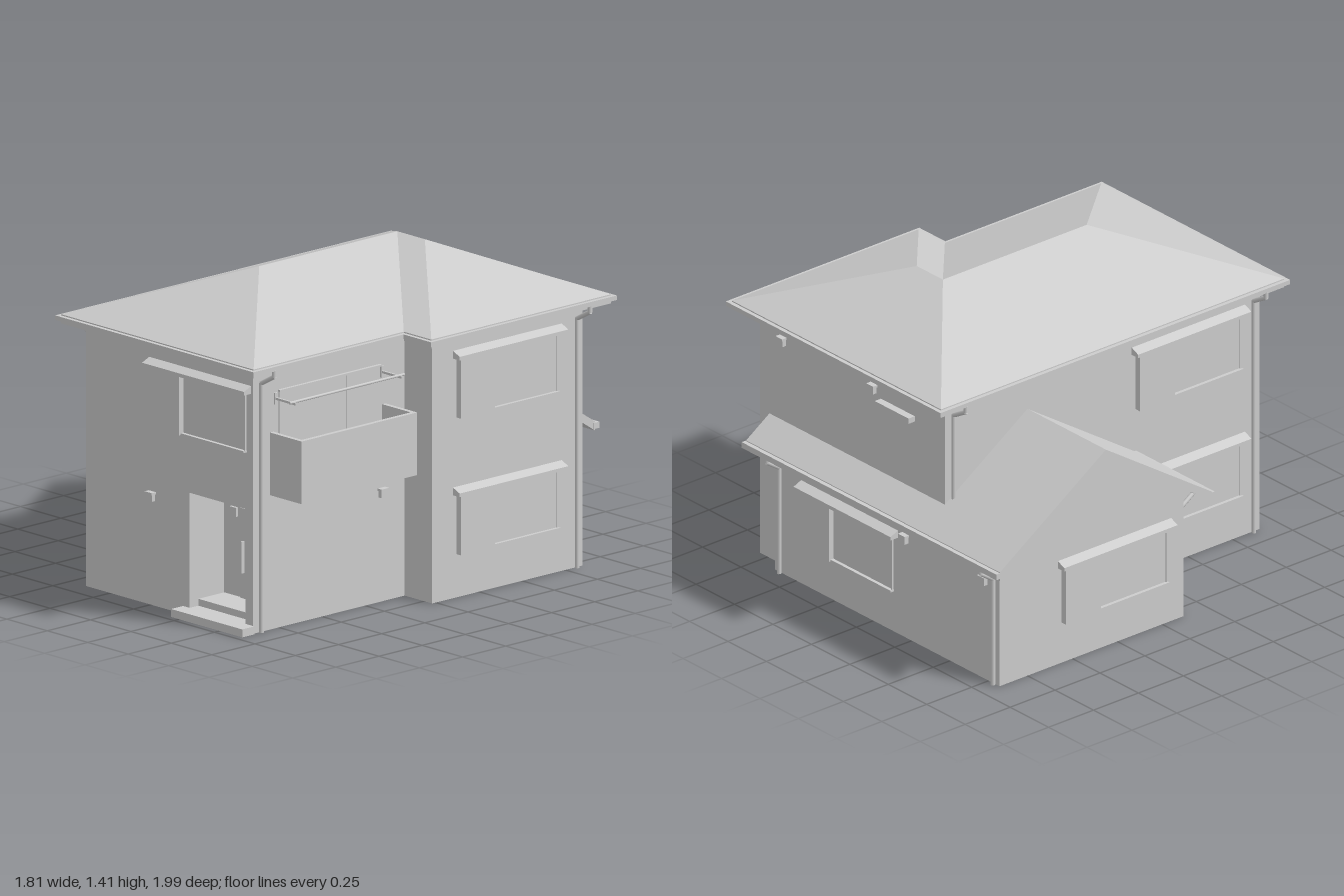
import * as THREE from 'three';

export function createModel() {
  const house = new THREE.Group();
  house.name = 'house';
  const plaster = new THREE.MeshStandardMaterial({ color: 0xcccccc });
  plaster.name = 'light grey';

  const add = (name, geometry, parent = house) => {
    const mesh = new THREE.Mesh(geometry, plaster);
    mesh.name = name;
    parent.add(mesh);
    return mesh;
  };
  // Box given by its two opposite corners
  const box = (name, [x0, y0, z0], [x1, y1, z1], parent = house) =>
    add(name, new THREE.BoxGeometry(x1 - x0, y1 - y0, z1 - z0)
      .translate((x0 + x1) / 2, (y0 + y1) / 2, (z0 + z1) / 2), parent);
  const shapeOf = (pts) => new THREE.Shape(pts.map(([a, b]) => new THREE.Vector2(a, b)));
  const extrude = (shape, depth) => new THREE.ExtrudeGeometry(shape, { depth, bevelEnabled: false });
  // Cross-section in (z, y) swept along x
  const sweepX = (name, pts, x0, x1, parent = house) =>
    add(name, extrude(shapeOf(pts.map(([z, y]) => [-z, y])), x1 - x0)
      .rotateY(Math.PI / 2).translate(x0, 0, 0), parent);
  // Plan outline in (x, z) raised from y0 to y1
  const slab = (name, pts, y0, y1) =>
    add(name, extrude(shapeOf(pts.map(([x, z]) => [x, -z])), y1 - y0)
      .rotateX(-Math.PI / 2).translate(0, y0, 0));
  // Round bar through a list of points
  const pipe = (name, pts, radius, parent = house) => {
    const up = new THREE.Vector3(0, 1, 0);
    const v = pts.map((p) => new THREE.Vector3(...p));
    for (let i = 1; i < v.length; i++) {
      const dir = v[i].clone().sub(v[i - 1]);
      const bar = add(name, new THREE.CylinderGeometry(radius, radius, dir.length() + radius * 0.5, 10), parent);
      bar.position.copy(v[i]).add(v[i - 1]).multiplyScalar(0.5);
      bar.quaternion.setFromUnitVectors(up, dir.normalize());
    }
  };
  // Group standing on a wall, local +z pointing outwards
  const onWall = (name, position, turn) => {
    const group = new THREE.Group();
    group.name = name;
    group.position.set(...position);
    group.rotation.y = turn;
    house.add(group);
    return group;
  };
  const FRONT = 0, LEFT = Math.PI / 2, BACK = Math.PI, RIGHT = -Math.PI / 2;

  // Main walls, with the entrance cut into the front layer
  box('mainWalls', [-0.4, 0, -0.85], [0.63, 1.16, 0.7]);
  box('wingWalls', [0.6, 0, -0.85], [0.8, 1.16, 0.02]);
  const frontWall = shapeOf([[-0.4, 0], [0.63, 0], [0.63, 1.16], [-0.4, 1.16]]);
  frontWall.holes.push(new THREE.Path(
    [[0.24, 0.035], [0.24, 0.54], [0.585, 0.54], [0.585, 0.035]].map((p) => new THREE.Vector2(...p))));
  add('frontWall', extrude(frontWall, 0.2).translate(0, 0, 0.7));

  // Entrance
  box('doorStep', [0.2, 0, 0.9], [0.64, 0.035, 0.97]);
  box('porchFloor', [0.24, 0.035, 0.7], [0.585, 0.065, 0.85]);
  box('door', [0.35, 0.065, 0.7], [0.565, 0.46, 0.708]);
  box('doorHandle', [0.37, 0.18, 0.712], [0.378, 0.32, 0.728]);
  box('doorbell', [0.285, 0.415, 0.7], [0.325, 0.455, 0.712]);

  // Main hipped roof with its eaves and gutter
  const outline = (d) => [
    [-0.48 - d, 0.97 + d], [0.71 + d, 0.97 + d], [0.71 + d, 0.1 + d],
    [0.88 + d, 0.1 + d], [0.88 + d, -0.94 - d], [-0.48 - d, -0.94 - d]];
  slab('eaves', outline(0), 1.15, 1.19);
  slab('gutter', outline(0.018), 1.165, 1.185);
  const E = 1.19, R = 1.41;
  const fl = [-0.48, E, 0.97], fr = [0.71, E, 0.97], inner = [0.71, E, 0.1];
  const wf = [0.88, E, 0.1], wb = [0.88, E, -0.94], bl = [-0.48, E, -0.94];
  const ridgeF = [0.115, R, 0.38], ridgeB = [0.115, R, -0.42], ridgeW = [0.285, R, -0.42];
  const corners = [];
  for (const f of [
    [fl, ridgeF, ridgeB, bl], [fl, fr, ridgeF], [fr, inner, ridgeB, ridgeF],
    [inner, wf, ridgeW, ridgeB], [wf, wb, ridgeW], [wb, bl, ridgeB, ridgeW],
  ]) for (let i = 2; i < f.length; i++) corners.push(...f[0], ...f[i - 1], ...f[i]);
  const roof = new THREE.BufferGeometry();
  roof.setAttribute('position', new THREE.Float32BufferAttribute(corners, 3));
  roof.computeVertexNormals();
  add('mainRoof', roof);

  // Single-storey annex and the strip behind the house
  const roofY = (z) => 0.985 - 0.66 * Math.abs(z + 0.39);
  const under = (z) => roofY(z) - 0.03;
  sweepX('annexWalls', [[-0.905, 0], [0.12, 0], [0.12, under(0.12)], [-0.39, under(-0.39)],
    [-0.905, under(-0.905)]], -0.82, -0.38);
  sweepX('rearWalls', [[-0.905, 0], [-0.84, 0], [-0.84, under(-0.84)], [-0.905, under(-0.905)]], -0.4, 0.64);
  const roofSection = (...zs) => [
    ...zs.map((z) => [z, roofY(z)]), ...zs.slice().reverse().map((z) => [z, roofY(z) - 0.04])];
  sweepX('annexRoof', roofSection(0.2, -0.39, -0.98), -0.91, -0.39);
  sweepX('rearRoof', roofSection(-0.83, -0.98), -0.4, 0.74);
  box('annexFrontGutter', [-0.91, 0.565, 0.185], [-0.4, 0.592, 0.215]);
  box('annexBackGutter', [-0.91, 0.565, -1], [0.745, 0.592, -0.97]);

  // Windows with a shutter box, hood and sill
  const windowAt = (position, turn) => {
    const w = onWall('window', position, turn);
    box('shutterBox', [0, 0, 0], [0.195, 0.26, 0.03], w);
    box('pane', [0.195, 0.005, 0], [0.575, 0.26, 0.004], w);
    box('sill', [0.195, 0, 0], [0.585, 0.008, 0.02], w);
    box('frameSide', [0.575, 0, 0], [0.582, 0.26, 0.01], w);
    const hood = onWall('hood', [0, 0, 0], 0);
    w.add(hood);
    sweepX('windowHood', [[0, 0.262], [0.042, 0.262], [0.042, 0.278], [0, 0.296]], -0.02, 0.61, hood);
  };
  windowAt([0.01, 0.79, 0.9], FRONT);
  for (const y of [0.79, 0.19]) {
    windowAt([0.8, y, -0.12], LEFT);
    windowAt([-0.4, y, 0.21], RIGHT);
  }
  windowAt([-0.82, 0.19, -0.56], RIGHT);
  windowAt([0.45, 0.19, -0.905], BACK);

  // Small hood high on the back wall
  box('smallHood', [-0.205, 1.0, -0.885], [0.015, 1.025, -0.85]);

  // Vent caps
  for (const [p, turn] of [
    [[0.01, 0.46, 0.9], FRONT], [[0.63, 0.46, 0.155], LEFT],
    [[0.06, 1.04, -0.85], BACK], [[0.65, 1.04, -0.85], BACK],
    [[-0.21, 0.45, -0.905], BACK], [[-0.725, 0.45, -0.905], BACK],
  ]) {
    const vent = onWall('vent', p, turn);
    box('ventBody', [-0.017, 0, 0], [0.017, 0.03, 0.02], vent);
    box('ventCap', [-0.022, 0.03, 0], [0.022, 0.04, 0.025], vent);
  }

  // Downpipes with an elbow from gutter to wall
  for (const [p, turn, top, bottom] of [
    [[0.63, 0, 0.86], LEFT, 1.165, 0], [[0.8, 0, -0.81], LEFT, 1.165, 0],
    [[-0.4, 0, 0.86], RIGHT, 1.165, 0], [[-0.4, 0, -0.81], RIGHT, 1.165, 0.68],
    [[-0.79, 0, 0.12], FRONT, 0.57, 0],
    [[-0.79, 0, -0.905], BACK, 0.57, 0], [[0.6, 0, -0.905], BACK, 0.57, 0],
  ]) {
    const out = turn === FRONT || turn === BACK ? 0.078 : 0.09;
    pipe('downpipe', [[0, top, out], [0, top - 0.025, out], [0, top - 0.07, 0.011], [0, bottom + 0.003, 0.011]],
      0.01, onWall('downpipe', p, turn));
  }

  // Balcony
  box('balconyFloor', [0.63, 0.59, 0.13], [0.825, 0.62, 0.8]);
  box('balconyFront', [0.805, 0.62, 0.13], [0.825, 0.865, 0.8]);
  for (const z of [0.13, 0.78]) box('balconySide', [0.63, 0.62, z], [0.805, 0.865, z + 0.02]);
  box('balconyDoorFixed', [0.63, 0.62, 0.365], [0.634, 1.04, 0.75]);
  box('balconyDoorSliding', [0.63, 0.62, 0.17], [0.639, 1.04, 0.365]);
  box('balconyDoorHead', [0.63, 1.037, 0.165], [0.645, 1.045, 0.755]);

  // Drying pole on two arms
  for (const z of [0.155, 0.77]) {
    box('poleArm', [0.63, 1.005, z - 0.005], [0.76, 1.015, z + 0.005]);
    box('armPlate', [0.63, 0.985, z - 0.008], [0.638, 1.035, z + 0.008]);
  }
  pipe('dryingPole', [[0.742, 1.015, 0.13], [0.742, 1.015, 0.79]], 0.006);

  return house;
}
